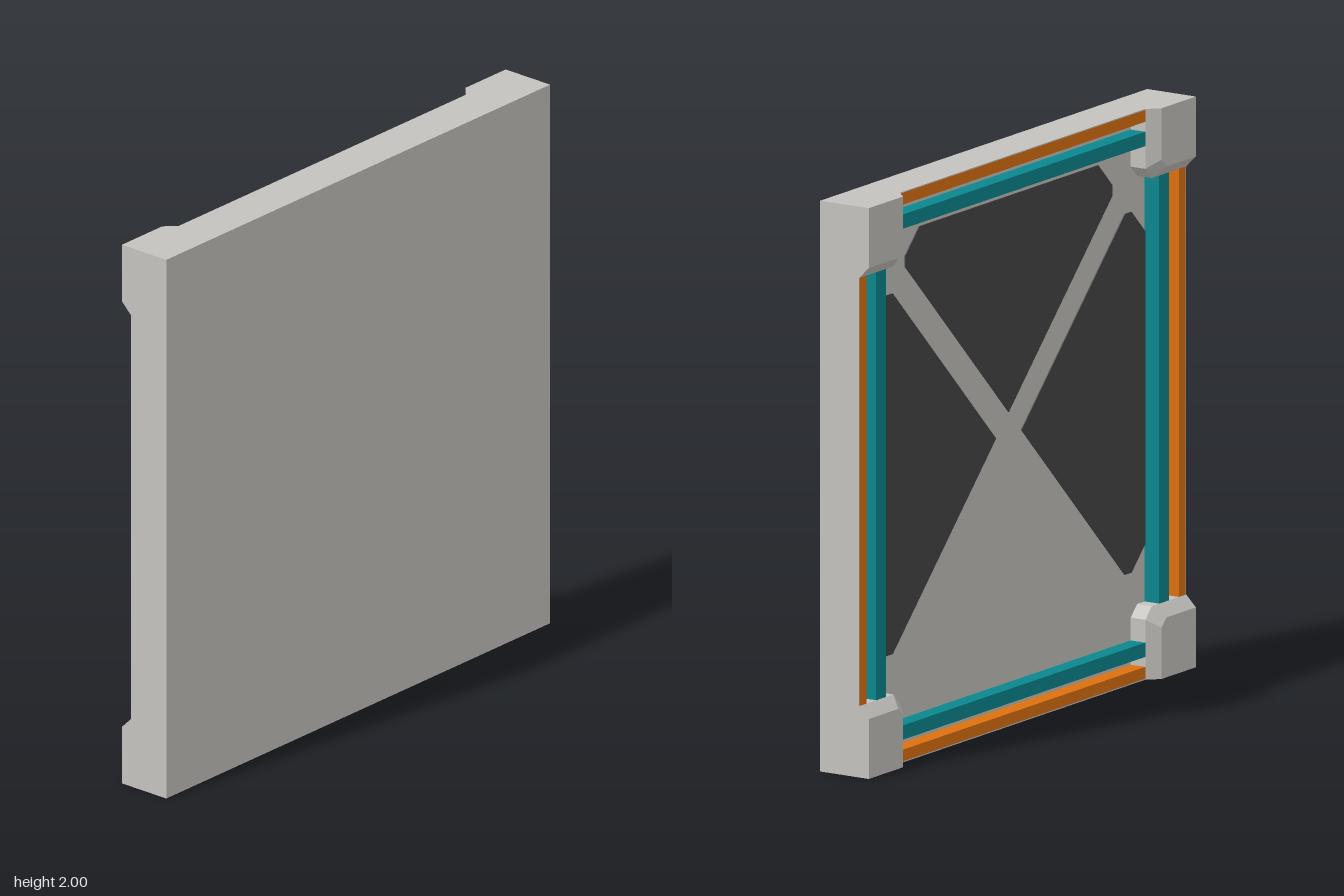
import * as THREE from 'three';
import { ConvexGeometry } from 'three/addons/geometries/ConvexGeometry.js';

const material = (name, color) => {
  const m = new THREE.MeshStandardMaterial({ color });
  m.name = name;
  return m;
};

export function createModel() {
  const grey = material('light grey', 0xc4c2be);
  const teal = material('teal', 0x0a868d);
  const orange = material('orange', 0xdc7010);
  const dark = material('charcoal', 0x454545);

  const model = new THREE.Group();
  model.name = 'wallPanel';
  // Everything is placed around the panel centre, then lifted to the ground
  const panel = new THREE.Group();
  panel.name = 'panel';
  panel.position.y = 1;
  model.add(panel);

  const add = (name, geometry, mat) => {
    const mesh = new THREE.Mesh(geometry, mat);
    mesh.name = name;
    panel.add(mesh);
    return mesh;
  };

  // Box from its limits
  const box = (name, mat, x0, x1, y0, y1, z0, z1) => {
    const g = new THREE.BoxGeometry(x1 - x0, y1 - y0, z1 - z0);
    g.translate((x0 + x1) / 2, (y0 + y1) / 2, (z0 + z1) / 2);
    return add(name, g, mat);
  };

  const front = -0.06; // level of the frame bars
  const end = 0.75; // where the bars meet the corner blocks

  // Solid backing slab
  box('slab', grey, 0, 0.1, -1, 1, -1, 1);

  // Bars along the four edges: thin rim, orange strip and teal rail
  const bar = (name, mat, a, b, s, vertical) => {
    const lo = Math.min(a * s, b * s);
    const hi = Math.max(a * s, b * s);
    if (vertical) box(name, mat, front, 0, -end, end, lo, hi);
    else box(name, mat, front, 0, lo, hi, -end, end);
  };
  for (const s of [-1, 1]) {
    for (const vertical of [true, false]) {
      bar('outerRim', grey, 0.996, 1, s, vertical);
      bar('edgeStrip', orange, 0.955, 0.996, s, vertical);
    }
    bar('sideRail', teal, 0.835, 0.895, s, true);
    bar('crossRail', teal, 0.87, 0.92, s, false);
  }

  // Raised corner blocks with bevelled inner edges
  const section = (x, e, c) => [
    [x, 1, 1], [x, e, 1], [x, e, e + c], [x, e + c, e], [x, 1, e],
  ];
  const profile = [
    ...section(0, 0.75, 0.04),
    ...section(front, 0.75, 0.04),
    ...section(-0.1, 0.79, 0.03),
  ];
  for (const sy of [-1, 1]) {
    for (const sz of [-1, 1]) {
      const points = profile.map(([x, y, z]) => new THREE.Vector3(x, y * sy, z * sz));
      add('cornerBlock', new ConvexGeometry(points), grey);
    }
  }

  // Dark infill triangles, leaving a diagonal cross between them
  const triangle = new THREE.Shape([
    [0.078, 0], [0.71, -0.632], [0.75, -0.632], [0.835, -0.547],
    [0.835, 0.547], [0.75, 0.632], [0.71, 0.632],
  ].map(([u, v]) => new THREE.Vector2(u, v)));
  ['rightInfill', 'topInfill', 'leftInfill'].forEach((name, k) => {
    const g = new THREE.ExtrudeGeometry(triangle, { depth: 0.004, bevelEnabled: false });
    g.rotateZ(k * Math.PI / 2);
    g.rotateY(-Math.PI / 2);
    add(name, g, dark);
  });

  return model;
}
